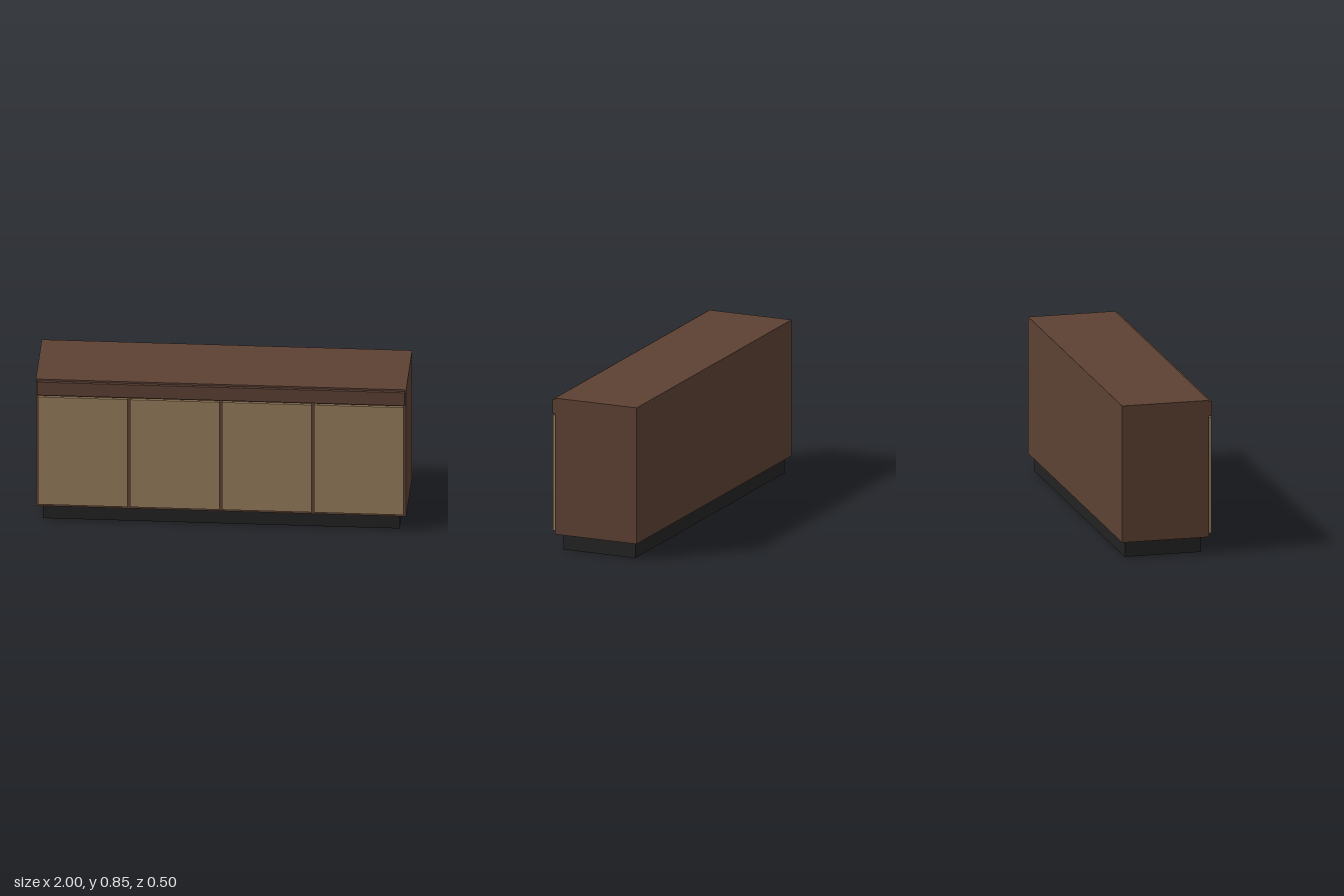
import * as THREE from 'three';

export function createModel() {
  const model = new THREE.Group();
  model.name = 'sideboard';

  const makeMaterial = (name, color) => {
    const m = new THREE.MeshStandardMaterial({ color });
    m.name = name;
    return m;
  };
  const walnut = makeMaterial('dark walnut', 0x5c4033);
  const oak = makeMaterial('light oak', 0x967c5b);
  const black = makeMaterial('plinth black', 0x222222);

  // Box given by its lower and upper limits on each axis
  const addBox = (name, material, [x0, x1], [y0, y1], [z0, z1]) => {
    const mesh = new THREE.Mesh(new THREE.BoxGeometry(x1 - x0, y1 - y0, z1 - z0), material);
    mesh.position.set((x0 + x1) / 2, (y0 + y1) / 2, (z0 + z1) / 2);
    mesh.name = name;
    model.add(mesh);
  };

  const front = [0.235, 0.252];

  // Recessed base and cabinet body
  addBox('plinth', black, [-0.963, 0.963], [0, 0.09], [-0.225, 0.2]);
  addBox('cabinetBody', walnut, [-1, 1], [0.09, 0.85], [-0.25, 0.235]);

  // Long rail above the doors
  addBox('topRail', walnut, [-0.993, 0.993], [0.762, 0.84], front);

  // Four equal doors with narrow gaps
  const pitch = 0.497, halfWidth = 0.241;
  for (let i = 0; i < 4; i++) {
    const x = (i - 1.5) * pitch;
    addBox(`door${i + 1}`, oak, [x - halfWidth, x + halfWidth], [0.107, 0.751], front);
  }

  return model;
}
